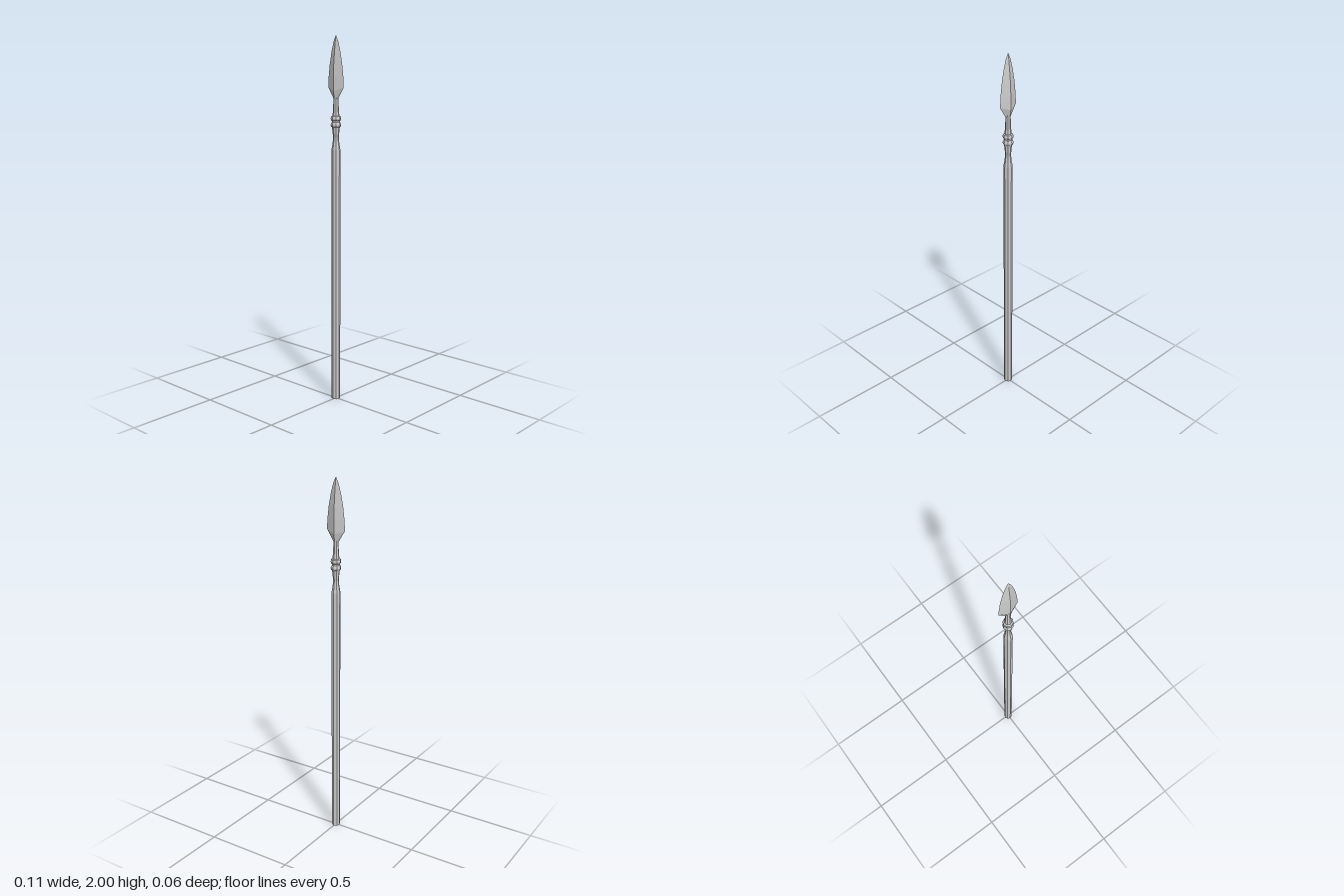
import * as THREE from 'three';

const material = new THREE.MeshStandardMaterial({ color: 0xcccccc, flatShading: true });

// Eight-sided turned part from [radius, height] pairs, bottom to top
function turned(name, profile) {
  const points = profile.map(([r, y]) => new THREE.Vector2(r, y));
  const mesh = new THREE.Mesh(new THREE.LatheGeometry(points, 8), material);
  mesh.name = name;
  return mesh;
}

// Diamond-section blade: each row is [half width, edge height, half depth, ridge height]
function bladeGeometry(rows) {
  const positions = [];
  const index = [];
  for (const [w, ey, d, ry] of rows) {
    positions.push(w, ey, 0, 0, ry, d, -w, ey, 0, 0, ry, -d);
  }
  for (let i = 0; i < rows.length - 1; i++) {
    for (let j = 0; j < 4; j++) {
      const a = i * 4 + j, b = i * 4 + (j + 1) % 4;
      index.push(a, a + 4, b, b, a + 4, b + 4);
    }
  }
  // Closed underside
  index.push(0, 1, 2, 0, 2, 3);
  const geometry = new THREE.BufferGeometry();
  geometry.setAttribute('position', new THREE.Float32BufferAttribute(positions, 3));
  geometry.setIndex(index);
  const flat = geometry.toNonIndexed();
  flat.computeVertexNormals();
  return flat;
}

export function createModel() {
  const spear = new THREE.Group();
  spear.name = 'spear';

  // Straight pole with a waisted top
  spear.add(turned('shaft', [
    [0, 0], [0.024, 0], [0.024, 1.4], [0.018, 1.435], [0.015, 1.465], [0.018, 1.495], [0.022, 1.53],
  ]));

  // Two raised rings with a groove between them
  spear.add(turned('collar', [
    [0.02, 1.52], [0.026, 1.523], [0.028, 1.532], [0.026, 1.541], [0.022, 1.546],
    [0.022, 1.554], [0.026, 1.557], [0.028, 1.566], [0.026, 1.577], [0.02, 1.58], [0, 1.58],
  ]));

  // Slim socket holding the blade
  spear.add(turned('socket', [
    [0.019, 1.575], [0.016, 1.605], [0.013, 1.67], [0.011, 1.7], [0, 1.7],
  ]));

  // Leaf-shaped spearhead
  const blade = new THREE.Mesh(bladeGeometry([
    [0.013, 1.665, 0.012, 1.665],
    [0.055, 1.73, 0.02, 1.71],
    [0.052, 1.785, 0.02, 1.785],
    [0.044, 1.85, 0.017, 1.85],
    [0.031, 1.915, 0.011, 1.915],
    [0.016, 1.967, 0.005, 1.967],
    [0, 2, 0, 2],
  ]), material);
  blade.name = 'blade';
  spear.add(blade);

  return spear;
}
